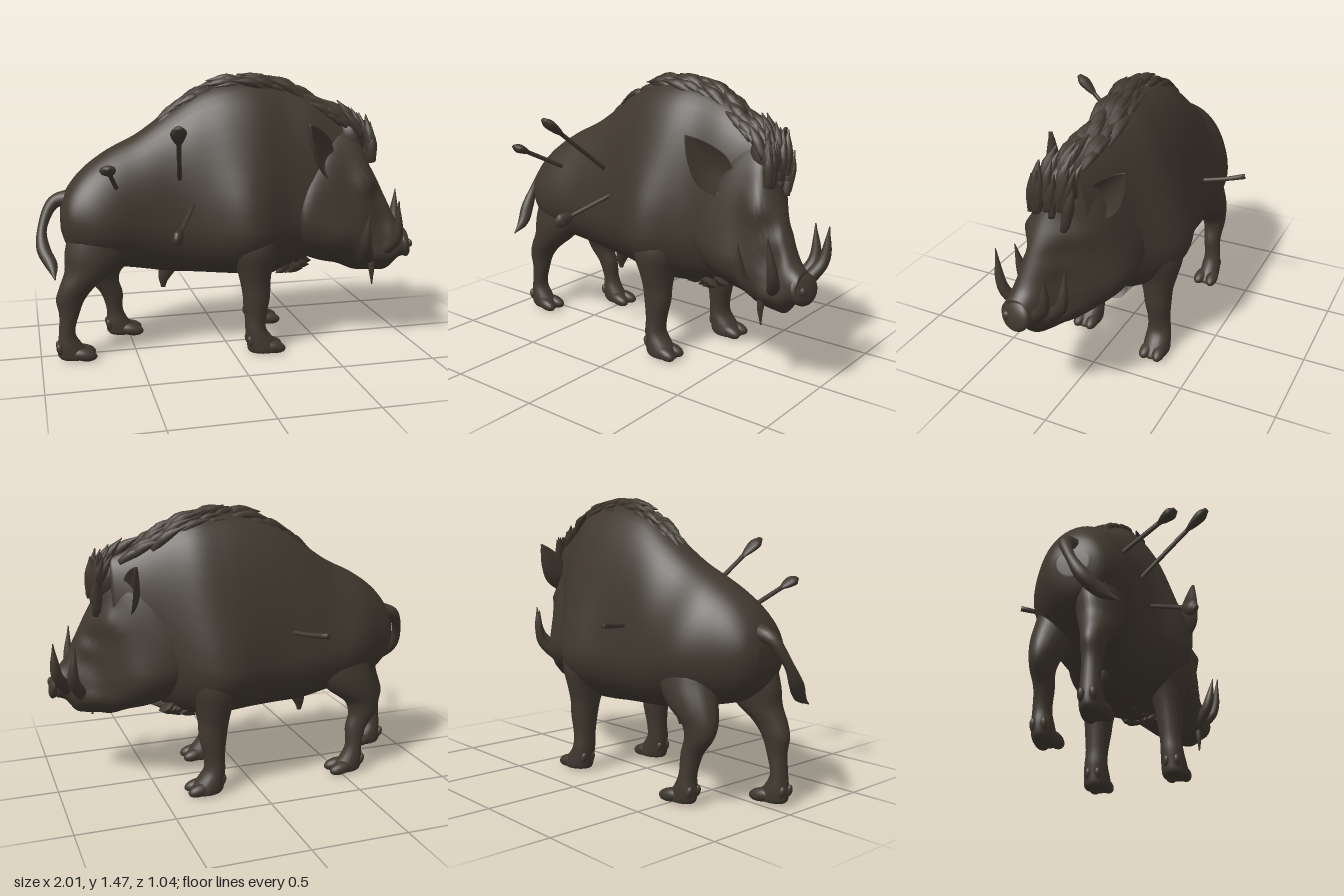
import * as THREE from 'three';

const V = (x, y, z) => new THREE.Vector3(x, y, z);
const hide = new THREE.MeshStandardMaterial({ color: 0x40382f });
hide.name = 'darkHide';

let seed = 7;
const rand = () => (seed = (seed * 16807) % 2147483647) / 2147483647;

// Smooth interpolation through rows of numbers
function spline(rows, n) {
  const out = [];
  for (let i = 0; i <= n; i++) {
    const f = (i / n) * (rows.length - 1);
    const k = Math.min(Math.floor(f), rows.length - 2), t = f - k;
    const at = (j) => rows[Math.max(0, Math.min(rows.length - 1, j))];
    out.push(rows[k].map((b, c) => {
      const a = at(k - 1)[c], d = at(k + 1)[c], e = at(k + 2)[c];
      return b + 0.5 * t * (d - a + t * (2 * a - 5 * b + 4 * d - e + t * (3 * (b - d) + e - a)));
    }));
  }
  return out;
}

// Closed skin over a list of equal rings, faces turned outward
function skin(rings) {
  const mid = (r) => r.reduce((s, p) => s.add(p), V(0, 0, 0)).divideScalar(r.length);
  const first = rings[0], last = rings[rings.length - 1];
  const all = [first.map(() => mid(first)), ...rings, last.map(() => mid(last))];
  const m = first.length, idx = [];
  for (let i = 0; i < all.length - 1; i++) {
    for (let j = 0; j < m; j++) {
      const a = i * m + j, b = i * m + ((j + 1) % m);
      idx.push(a, b, a + m, b, b + m, a + m);
    }
  }
  const pts = all.flat();
  let volume = 0;
  for (let i = 0; i < idx.length; i += 3) {
    volume += pts[idx[i]].dot(pts[idx[i + 1]].clone().cross(pts[idx[i + 2]]));
  }
  if (volume < 0) idx.reverse();
  const g = new THREE.BufferGeometry().setFromPoints(pts);
  g.setIndex(idx);
  g.computeVertexNormals();
  return g;
}

const ring = (m, f) => Array.from({ length: m }, (_, j) => f(Math.cos(j / m * 2 * Math.PI), Math.sin(j / m * 2 * Math.PI)));

// Rows: x, widest height, rise above, drop below, centre z, half width
// Muscles: side, x, y, radius in x, radius in y, sideways push
const bodyLoft = (rows, n, muscles) => skin(spline(rows, n).map(([x, y, up, down, z, w]) =>
  ring(48, (c, s) => {
    const p = V(x, y + s * (s > 0 ? up : down), z + c * w);
    for (const [side, mx, my, rx, ry, push] of muscles) {
      const k = Math.exp(-(((p.x - mx) / rx) ** 2) - ((p.y - my) / ry) ** 2);
      p.z += side * push * k * THREE.MathUtils.smoothstep(c * side, 0, 0.6);
    }
    return p;
  })));

// Rows: x, y, z, radius in x, radius in z
const legLoft = (rows) => skin(spline(rows, 44).map(([x, y, z, rx, rz]) =>
  ring(20, (c, s) => V(x + c * rx, y, z + s * rz))));

// Tapered tube through points, optionally flattened
function taper(points, radii, n = 16, m = 10, flat = 1) {
  const curve = new THREE.CatmullRomCurve3(points);
  const fr = curve.computeFrenetFrames(n, false);
  const r = spline(radii.map((a) => [a]), n);
  return skin(r.map(([a], i) => {
    const p = curve.getPoint(i / n);
    return ring(m, (c, s) => p.clone()
      .addScaledVector(fr.normals[i], c * a).addScaledVector(fr.binormals[i], s * a * flat));
  }));
}

// Cupped leaf-shaped ear
function ear(base, tip, facing, width) {
  const along = tip.clone().sub(base);
  const across = along.clone().cross(facing).normalize();
  const front = across.clone().cross(along).normalize();
  if (front.dot(facing) < 0) front.negate();
  const rows = spline([[0, 0.6], [0.2, 0.9], [0.4, 1], [0.65, 0.75], [0.85, 0.4], [1, 0.04]], 18);
  return skin(rows.map(([t, k]) => ring(20, (c, s) => base.clone().addScaledVector(along, t)
    .addScaledVector(across, c * k * width)
    .addScaledVector(front, s * 0.01 + (c * c - 0.5) * 0.05 * k))));
}

export function createModel() {
  const boar = new THREE.Group();
  boar.name = 'boar';
  const add = (name, geometry) => {
    const mesh = new THREE.Mesh(geometry, hide);
    mesh.name = name;
    boar.add(mesh);
    return mesh;
  };
  const lump = (name, x, y, z, rx, ry, rz, tilt = 0, turn = 0) => {
    const mesh = add(name, new THREE.SphereGeometry(1, 20, 14));
    mesh.position.set(x, y, z);
    mesh.scale.set(rx, ry, rz);
    mesh.rotation.set(0, turn, tilt);
  };

  // Trunk with high shoulder hump, shoulders and haunches
  add('body', bodyLoft([
    [-0.87, 0.74, 0.05, 0.07, -0.02, 0.07], [-0.835, 0.74, 0.15, 0.16, -0.02, 0.14],
    [-0.75, 0.74, 0.25, 0.23, -0.035, 0.185], [-0.62, 0.74, 0.34, 0.27, -0.055, 0.215],
    [-0.46, 0.72, 0.44, 0.28, -0.065, 0.225], [-0.3, 0.7, 0.57, 0.29, -0.08, 0.245],
    [-0.15, 0.69, 0.68, 0.29, -0.07, 0.26], [0, 0.68, 0.74, 0.29, -0.055, 0.28],
    [0.15, 0.68, 0.75, 0.3, -0.05, 0.285], [0.3, 0.7, 0.71, 0.31, -0.055, 0.255],
    [0.45, 0.78, 0.57, 0.33, -0.02, 0.2], [0.58, 0.87, 0.4, 0.28, 0, 0.15],
    [0.69, 0.95, 0.27, 0.2, 0.02, 0.1]], 64, [
    [1, 0.06, 0.7, 0.17, 0.28, 0.08], [-1, 0.19, 0.64, 0.18, 0.26, 0.06],
    [1, -0.67, 0.66, 0.16, 0.22, 0.035], [-1, -0.52, 0.7, 0.16, 0.25, 0.05]]));

  // Head turned slightly to the side, with cheeks, brows and a pinched muzzle
  const face = [-1, 1].flatMap((s) => [
    [s, 0.58, 0.6, 0.12, 0.14, 0.03], [s, 0.72, 0.9, 0.07, 0.05, 0.03],
    [s, 0.78, 0.81, 0.06, 0.04, -0.02], [s, 0.8, 0.68, 0.08, 0.07, -0.025], [s, 0.8, 0.49, 0.1, 0.05, 0.03]]);
  add('head', bodyLoft([
    [0.345, 0.71, 0.12, 0.11, -0.02, 0.16], [0.365, 0.71, 0.2, 0.16, -0.02, 0.22],
    [0.42, 0.7, 0.36, 0.22, -0.015, 0.235], [0.52, 0.68, 0.5, 0.24, 0, 0.22],
    [0.62, 0.66, 0.54, 0.24, 0.02, 0.195], [0.7, 0.64, 0.5, 0.25, 0.055, 0.165],
    [0.76, 0.61, 0.39, 0.22, 0.085, 0.14], [0.82, 0.58, 0.3, 0.19, 0.105, 0.115],
    [0.87, 0.56, 0.21, 0.16, 0.125, 0.1], [0.92, 0.55, 0.12, 0.09, 0.14, 0.085],
    [0.965, 0.55, 0.075, 0.075, 0.15, 0.078]], 60, face));
  lump('snoutDisc', 0.963, 0.547, 0.152, 0.034, 0.08, 0.088, 0.25, -0.25);
  for (const s of [-1, 1]) lump('nostril', 0.986, 0.55, 0.155 + s * 0.035, 0.014, 0.022, 0.02, 0.25);

  // Ears
  add('leftEar', ear(V(0.52, 0.96, 0.16), V(0.37, 1.22, 0.28), V(0.7, 0.1, 0.7), 0.095));
  add('rightEar', ear(V(0.6, 0.97, -0.08), V(0.61, 1.21, -0.25), V(1, 0.1, -0.15), 0.085));

  // Tusks
  const tusks = [
    [V(0.75, 0.48, 0.19), V(0.7, 0.58, 0.27), V(0.7, 0.75, 0.31)],
    [V(0.82, 0.5, 0.18), V(0.87, 0.6, 0.27), V(0.86, 0.81, 0.31)],
    [V(0.91, 0.53, 0.08), V(0.975, 0.64, -0.01), V(0.99, 0.81, -0.03)],
    [V(0.84, 0.5, 0.04), V(0.9, 0.62, -0.06), V(0.89, 0.8, -0.08)]];
  for (const t of tusks) add('tusk', taper(t, [0.034, 0.032, 0.024, 0.003]));
  add('hangingStrand', taper([V(0.77, 0.5, 0.19), V(0.765, 0.42, 0.2), V(0.77, 0.335, 0.2)], [0.022, 0.016, 0.004]));

  // Legs with cloven feet
  const leftFront = [[0.13, 0.8, 0.1, 0.03, 0.03], [0.12, 0.72, 0.13, 0.13, 0.11], [0.11, 0.58, 0.165, 0.13, 0.125],
    [0.115, 0.46, 0.17, 0.095, 0.1], [0.12, 0.38, 0.175, 0.08, 0.077], [0.125, 0.3, 0.18, 0.072, 0.068],
    [0.12, 0.2, 0.185, 0.056, 0.058], [0.12, 0.13, 0.19, 0.056, 0.06], [0.145, 0.07, 0.193, 0.075, 0.066],
    [0.165, 0.025, 0.195, 0.09, 0.068], [0.17, 0.008, 0.195, 0.085, 0.062]];
  const rightFront = leftFront.map(([x, y, z, rx, rz]) => [x + 0.105, y, -z * 0.8 - 0.105, rx, rz * 1.05]);
  const leftHind = [[-0.66, 0.76, 0.05, 0.03, 0.03], [-0.67, 0.69, 0.05, 0.15, 0.1], [-0.69, 0.58, 0.06, 0.17, 0.11],
    [-0.735, 0.48, 0.07, 0.13, 0.095], [-0.8, 0.4, 0.08, 0.095, 0.072], [-0.84, 0.33, 0.08, 0.075, 0.056],
    [-0.85, 0.25, 0.08, 0.052, 0.047], [-0.865, 0.15, 0.08, 0.042, 0.046], [-0.85, 0.08, 0.08, 0.065, 0.054],
    [-0.83, 0.03, 0.08, 0.085, 0.055], [-0.82, 0.01, 0.08, 0.08, 0.05]];
  const rightHind = [[-0.5, 0.76, -0.18, 0.03, 0.03], [-0.5, 0.69, -0.19, 0.14, 0.1], [-0.52, 0.58, -0.2, 0.16, 0.115],
    [-0.57, 0.48, -0.215, 0.145, 0.1], [-0.63, 0.4, -0.225, 0.1, 0.075], [-0.635, 0.33, -0.235, 0.08, 0.058],
    [-0.595, 0.25, -0.24, 0.06, 0.048], [-0.58, 0.15, -0.25, 0.045, 0.046], [-0.565, 0.08, -0.25, 0.065, 0.054],
    [-0.54, 0.03, -0.25, 0.085, 0.055], [-0.53, 0.01, -0.25, 0.08, 0.05]];
  const legs = { leftFrontLeg: leftFront, rightFrontLeg: rightFront, leftHindLeg: leftHind, rightHindLeg: rightHind };
  for (const [name, rows] of Object.entries(legs)) {
    add(name, legLoft(rows));
    const [x, , z] = rows[rows.length - 1];
    for (const s of [-1, 1]) {
      lump('hoof', x + 0.035, 0.035, z + s * 0.033, 0.07, 0.034, 0.036, -0.2, -s * 0.12);
      lump('dewclaw', x - 0.085, 0.07, z + s * 0.026, 0.018, 0.032, 0.018, 0.3);
    }
  }

  // Tail with tuft
  add('tail', taper([V(-0.8, 0.84, -0.03), V(-0.9, 0.82, -0.04), V(-0.965, 0.7, 0.01), V(-0.965, 0.6, 0.07),
    V(-0.93, 0.53, 0.14), V(-0.92, 0.48, 0.22)], [0.05, 0.035, 0.024, 0.035, 0.03, 0.004], 30));

  // Mane tufts swept back along the spine
  const crest = new THREE.CatmullRomCurve3([V(-0.32, 1.25, -0.08), V(-0.1, 1.38, -0.07),
    V(0.13, 1.43, -0.05), V(0.38, 1.375, -0.04), V(0.57, 1.27, 0), V(0.7, 1.2, 0.04), V(0.755, 1.1, 0.07), V(0.76, 0.98, 0.09)]);
  for (let i = 0; i < 110; i++) {
    const t = 0.04 + 0.95 * rand(), side = rand() * 2 - 1;
    const p = crest.getPoint(t), back = crest.getTangent(t).negate();
    const spread = 0.03 + 0.08 * t, size = 0.6 + 0.5 * rand();
    p.z += side * spread;
    p.y -= side * side * spread * 0.6 + 0.015;
    const a = p.clone().addScaledVector(back, 0.08 * size).add(V(0, 0.025 * size, side * 0.012));
    const b = p.clone().addScaledVector(back, 0.18 * size).add(V(0, 0.02 * size, side * 0.025));
    add('maneTuft', taper([p, a, b], [0.022, 0.03 * size, 0.003], 6, 7, 0.8));
  }
  lump('forelock', 0.68, 1.12, 0.04, 0.08, 0.11, 0.09, 0.2);

  // Shaggy belly and throat
  for (let i = 0; i < 22; i++) {
    const x = 0.15 + 0.32 * rand(), z = -0.03 + (rand() - 0.5) * 0.2;
    const y = 0.43 + Math.max(0, x - 0.36) * 0.3;
    add('throatTuft', taper([V(x, y, z), V(x - 0.02, y - 0.025, z), V(x - 0.06, y - 0.05, z)], [0.05, 0.03, 0.003], 6, 7));
  }
  add('underbelly', taper([V(-0.3, 0.45, -0.06), V(-0.33, 0.38, -0.06), V(-0.335, 0.32, -0.06)], [0.05, 0.032, 0.012]));

  // Arrows with vane at the outer end
  const arrows = [[V(-0.27, 0.93, 0.12), V(-0.345, 1.25, 0.51)], [V(-0.59, 0.9, 0.11), V(-0.67, 1.06, 0.42)],
    [V(-0.2, 0.82, 0.15), V(-0.35, 0.69, 0.44)]];
  for (const [a, b] of arrows) {
    const at = (t) => a.clone().lerp(b, t);
    add('arrowShaft', taper([a, at(0.5), at(0.95)], [0.012, 0.012, 0.012], 6, 8));
    add('arrowVane', taper([at(0.7), at(0.8), at(0.92), b], [0.012, 0.03, 0.04, 0.018], 12, 10, 0.6));
  }
  add('brokenShaft', taper([V(-0.18, 0.835, -0.3), V(-0.23, 0.845, -0.42), V(-0.28, 0.86, -0.52)], [0.012, 0.012, 0.015], 6, 8));

  return boar;
}
